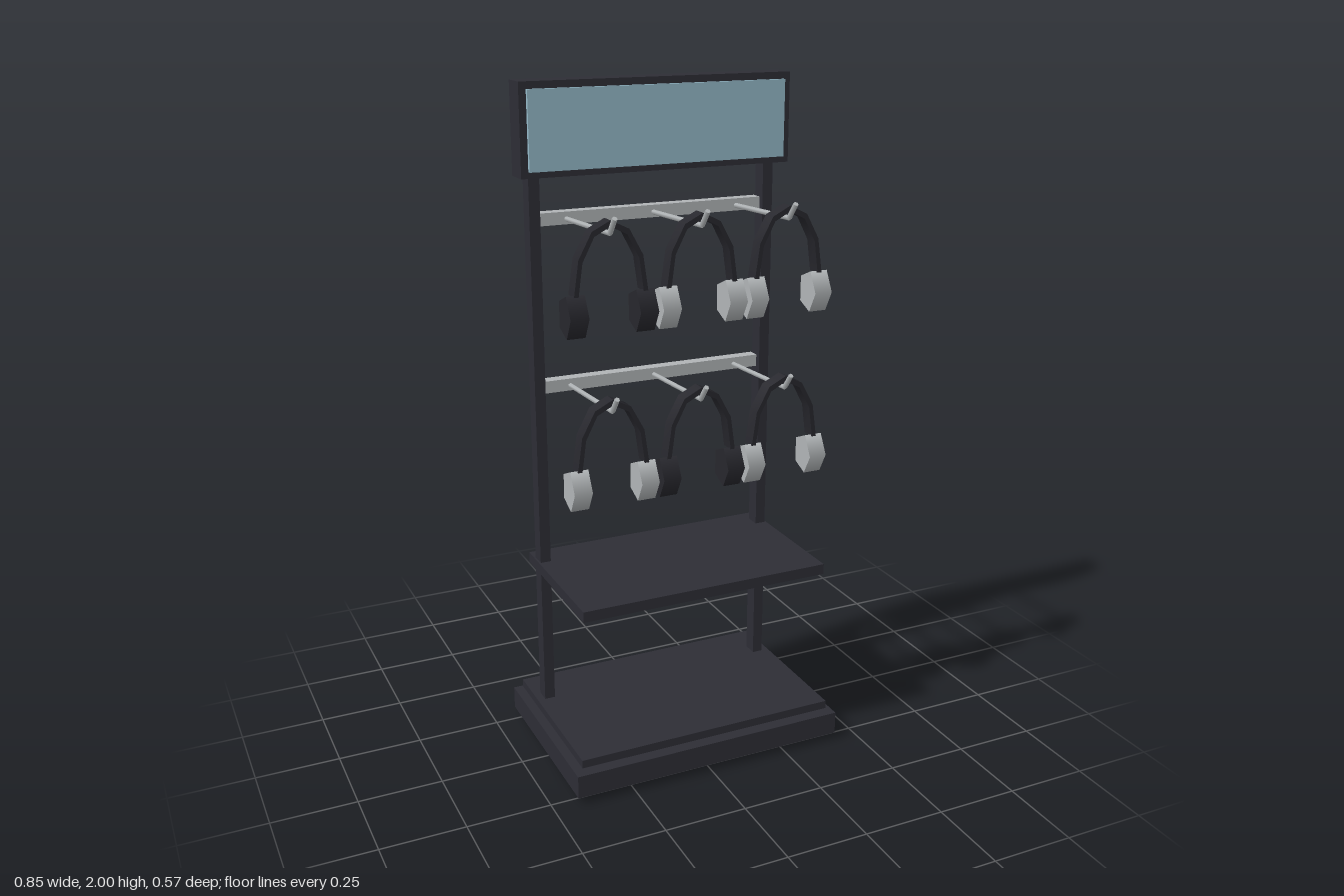
import * as THREE from 'three';
import { toCreasedNormals } from 'three/addons/utils/BufferGeometryUtils.js';

function material(name, color) {
  const m = new THREE.MeshStandardMaterial({ color });
  m.name = name;
  return m;
}

export function createModel() {
  const charcoal = material('charcoal', 0x2d2d35);
  const black = material('black', 0x27272d);
  const silver = material('silver', 0xb0b4b6);
  const blue = material('pale blue', 0x94b9c8);

  const model = new THREE.Group();
  model.name = 'headphoneStand';

  function add(parent, name, geometry, mat) {
    const mesh = new THREE.Mesh(geometry, mat);
    mesh.name = name;
    parent.add(mesh);
    return mesh;
  }

  // Box given by its limits on each axis
  function box(name, mat, [x0, x1], [y0, y1], [z0, z1]) {
    const g = new THREE.BoxGeometry(x1 - x0, y1 - y0, z1 - z0);
    g.translate((x0 + x1) / 2, (y0 + y1) / 2, (z0 + z1) / 2);
    return add(model, name, g, mat);
  }

  // Base, top plate and shelf
  box('base', charcoal, [-0.427, 0.427], [0.022, 0.092], [-0.284, 0.284]);
  box('basePlate', charcoal, [-0.404, 0.404], [0.102, 0.127], [-0.261, 0.261]);
  box('shelf', charcoal, [-0.386, 0.386], [0.557, 0.589], [-0.205, 0.249]);

  // Feet and posts, mirrored
  for (const s of [-1, 1]) {
    const span = (a, b) => (s > 0 ? [a, b] : [-b, -a]);
    for (const t of [-1, 1]) {
      const z = t > 0 ? [0.147, 0.253] : [-0.253, -0.147];
      box('foot', charcoal, span(0.268, 0.386), [0, 0.022], z);
    }
    box('post', charcoal, span(0.349, 0.381), [0.1, 1.88], [-0.161, -0.115]);
  }

  // Sign with its face panel
  box('signBox', charcoal, [-0.412, 0.412], [1.742, 2], [-0.157, -0.081]);
  box('signPanel', blue, [-0.391, 0.391], [1.76, 1.98], [-0.081, -0.07]);

  // Flat headband: a half ellipse in six straight steps
  const arch = new THREE.Shape();
  const steps = 6;
  const ring = (rx, ry, i) => {
    const a = (Math.PI * i) / steps;
    return new THREE.Vector2(Math.cos(a) * rx, Math.sin(a) * ry);
  };
  const outline = [];
  for (let i = 0; i <= steps; i++) outline.push(ring(0.106, 0.196, i));
  for (let i = steps; i >= 0; i--) outline.push(ring(0.093, 0.18, i));
  arch.setFromPoints(outline);
  const bandGeometry = toCreasedNormals(
    new THREE.ExtrudeGeometry(arch, { depth: 0.042, bevelEnabled: false }).translate(0, 0, -0.021),
    0.9
  );

  // Five-sided ear cup lying along x, stretched in height
  const cupGeometry = new THREE.CylinderGeometry(0.0464, 0.0464, 0.053, 5);
  cupGeometry.rotateZ(Math.PI / 2).scale(1, 1.32, 1);

  function headphones(x, y, cupMaterial) {
    const g = new THREE.Group();
    g.name = 'headphones';
    add(g, 'headband', bandGeometry, black);
    for (const s of [-1, 1]) {
      add(g, 'earCup', cupGeometry, cupMaterial).position.set(s * 0.1, -0.054, 0);
    }
    g.position.set(x, y, 0.177);
    model.add(g);
  }

  // Straight rod between two points
  function rod(name, from, to, radius) {
    const dir = to.clone().sub(from);
    const mesh = add(model, name, new THREE.CylinderGeometry(radius, radius, dir.length(), 6), silver);
    mesh.position.copy(from).add(to).multiplyScalar(0.5);
    mesh.quaternion.setFromUnitVectors(new THREE.Vector3(0, 1, 0), dir.normalize());
  }

  // Two rows of crossbar, hooks and headphones
  const rows = [
    { y: 1.619, cups: [black, silver, silver] },
    { y: 1.131, cups: [silver, black, silver] },
  ];
  for (const { y, cups } of rows) {
    box('crossbar', silver, [-0.346, 0.346], [y - 0.018, y + 0.018], [-0.164, -0.128]);
    cups.forEach((cup, i) => {
      const x = (i - 1) * 0.267;
      const bend = new THREE.Vector3(x, y + 0.012, 0.192);
      rod('hookArm', new THREE.Vector3(x, y - 0.003, -0.135), bend, 0.0075);
      rod('hookTip', bend, new THREE.Vector3(x, y + 0.056, 0.227), 0.0075);
      headphones(x, y - 0.149, cup);
    });
  }

  return model;
}
